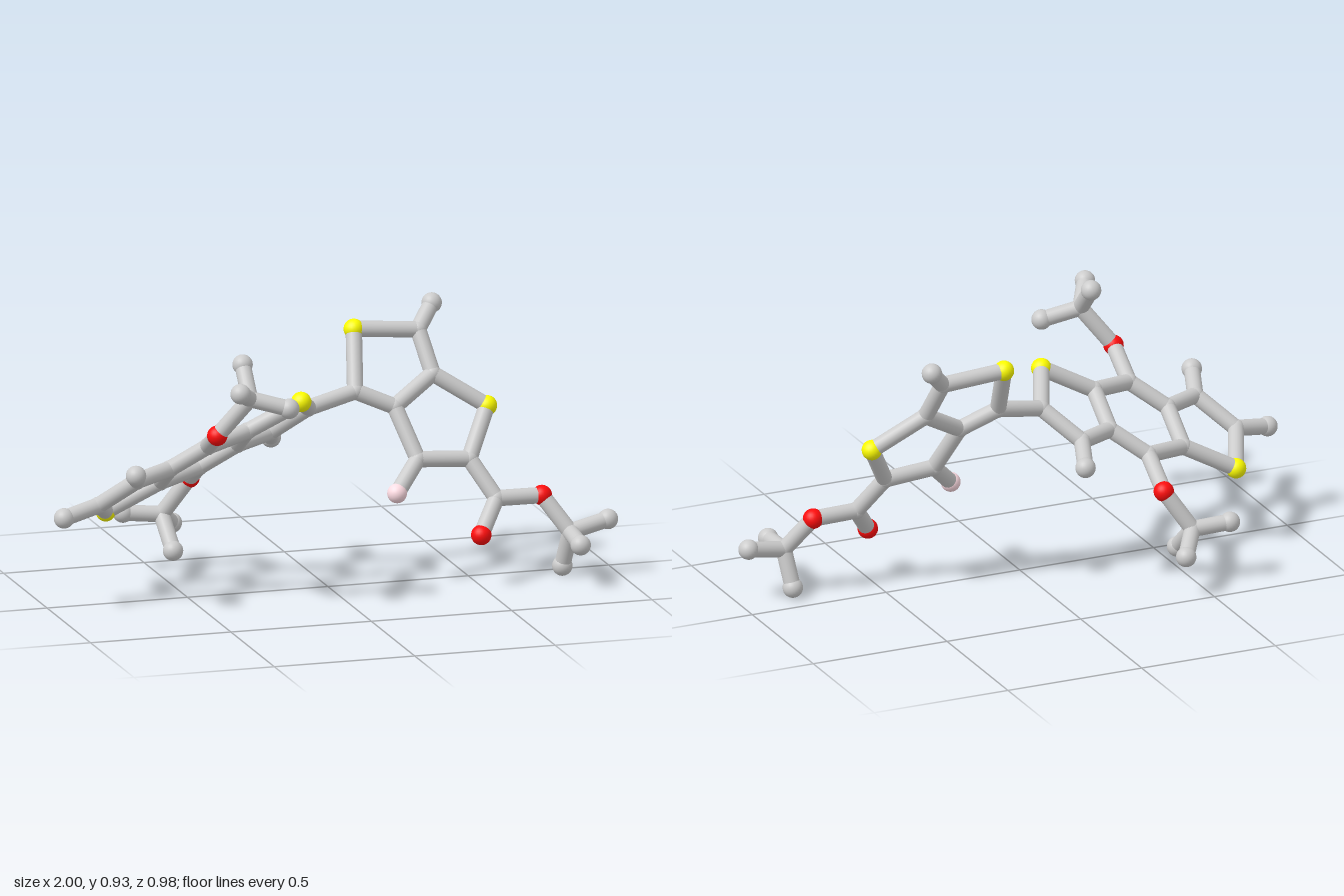
import * as THREE from 'three';

const BOND_R = 0.028;
const KINDS = {
  carbon: { r: 0.03, color: 0xcccccc },
  hydrogen: { r: 0.035, color: 0xcccccc },
  sulfur: { r: 0.035, color: 0xffff00 },
  oxygen: { r: 0.035, color: 0xff0d0d },
  fluorine: { r: 0.034, color: 0xffdde4 },
};

export function createModel() {
  const model = new THREE.Group();
  model.name = 'stickMolecule';
  const mats = {}, balls = {};
  for (const [kind, { r, color }] of Object.entries(KINDS)) {
    mats[kind] = new THREE.MeshStandardMaterial({ color });
    balls[kind] = new THREE.SphereGeometry(r, 24, 16);
  }

  const atoms = {};
  function atom(id, kind, x, y, z) {
    const mesh = new THREE.Mesh(balls[kind], mats[kind]);
    mesh.name = kind + 'Atom';
    mesh.position.set(x, y, z);
    atoms[id] = mesh.position;
    model.add(mesh);
  }

  const up = new THREE.Vector3(0, 1, 0);
  function bond(a, b) {
    const dir = atoms[b].clone().sub(atoms[a]);
    const geo = new THREE.CylinderGeometry(BOND_R, BOND_R, dir.length(), 20, 1, true);
    const mesh = new THREE.Mesh(geo, mats.carbon);
    mesh.name = 'bond';
    mesh.position.copy(atoms[a]).add(atoms[b]).multiplyScalar(0.5);
    mesh.quaternion.setFromUnitVectors(up, dir.normalize());
    model.add(mesh);
  }
  // Bonds joining the listed atoms one after another
  const chain = (ids) => ids.slice(1).forEach((id, i) => bond(ids[i], id));

  // Methyl group: carbon with three hydrogens
  function methyl(id, center, hydrogens) {
    atom(id, 'carbon', ...center);
    hydrogens.forEach((p, i) => {
      atom(id + 'H' + i, 'hydrogen', ...p);
      bond(id, id + 'H' + i);
    });
  }

  // Left fused three-ring system: one half, repeated by inversion through its centre
  const half = [
    ['A', 'carbon', -0.032, 0.074, 0.15],
    ['B', 'carbon', -0.145, -0.012, 0.082],
    ['C', 'carbon', -0.132, -0.098, -0.076],
    ['S', 'sulfur', -0.314, -0.195, -0.11],
    ['D', 'carbon', -0.395, -0.125, 0.068],
    ['E', 'carbon', -0.288, -0.023, 0.167],
    ['HE', 'hydrogen', -0.328, 0.026, 0.284],
    ['O', 'oxygen', -0.045, 0.151, 0.305],
  ];
  for (const [side, s] of [['L', 1], ['R', -1]]) {
    for (const [id, kind, x, y, z] of half) {
      atom(id + side, kind, -0.44 + s * x, 0.49 + s * y, -0.01 + s * z);
    }
    chain(['A', 'B', 'C', 'S', 'D', 'E', 'B'].map((id) => id + side));
    chain(['HE' + side, 'E' + side]);
    chain(['O' + side, 'A' + side]);
  }
  bond('AL', 'CR');
  bond('AR', 'CL');
  atom('HD', 'hydrogen', -0.968, 0.338, 0.092);
  bond('HD', 'DL');

  // Methoxy ends of the left system
  methyl('upperMethyl', [-0.385, 0.775, 0.347],
    [[-0.382, 0.873, 0.253], [-0.452, 0.824, 0.457], [-0.256, 0.74, 0.383]]);
  bond('OL', 'upperMethyl');
  methyl('lowerMethyl', [-0.48, 0.205, -0.363],
    [[-0.612, 0.216, -0.381], [-0.473, 0.103, -0.253], [-0.414, 0.147, -0.457]]);
  bond('OR', 'lowerMethyl');

  // Right fused two-ring system
  atom('link', 'carbon', 0.131, 0.652, -0.109);
  atom('topS', 'sulfur', 0.163, 0.84, -0.228);
  atom('topC', 'carbon', 0.39, 0.823, -0.222);
  atom('topH', 'hydrogen', 0.457, 0.897, -0.282);
  atom('fuseR', 'carbon', 0.417, 0.685, -0.143);
  atom('fuseL', 'carbon', 0.265, 0.594, -0.087);
  atom('sideS', 'sulfur', 0.595, 0.572, -0.092);
  atom('esterRingC', 'carbon', 0.503, 0.415, 0.003);
  atom('fluoroC', 'carbon', 0.318, 0.428, 0.007);
  atom('F', 'fluorine', 0.222, 0.333, 0.08);
  chain(['DR', 'link', 'topS', 'topC', 'fuseR', 'fuseL', 'link']);
  chain(['fuseR', 'sideS', 'esterRingC', 'fluoroC', 'fuseL']);
  bond('topC', 'topH');
  bond('fluoroC', 'F');

  // Ester arm
  atom('carbonyl', 'carbon', 0.577, 0.288, 0.075);
  atom('carbonylO', 'oxygen', 0.5, 0.183, 0.15);
  atom('esterO', 'oxygen', 0.74, 0.286, 0.072);
  methyl('esterMethyl', [0.822, 0.166, 0.132],
    [[0.963, 0.195, 0.112], [0.815, 0.154, 0.276], [0.807, 0.038, 0.091]]);
  chain(['esterRingC', 'carbonyl', 'esterO', 'esterMethyl']);
  bond('carbonyl', 'carbonylO');

  return model;
}
